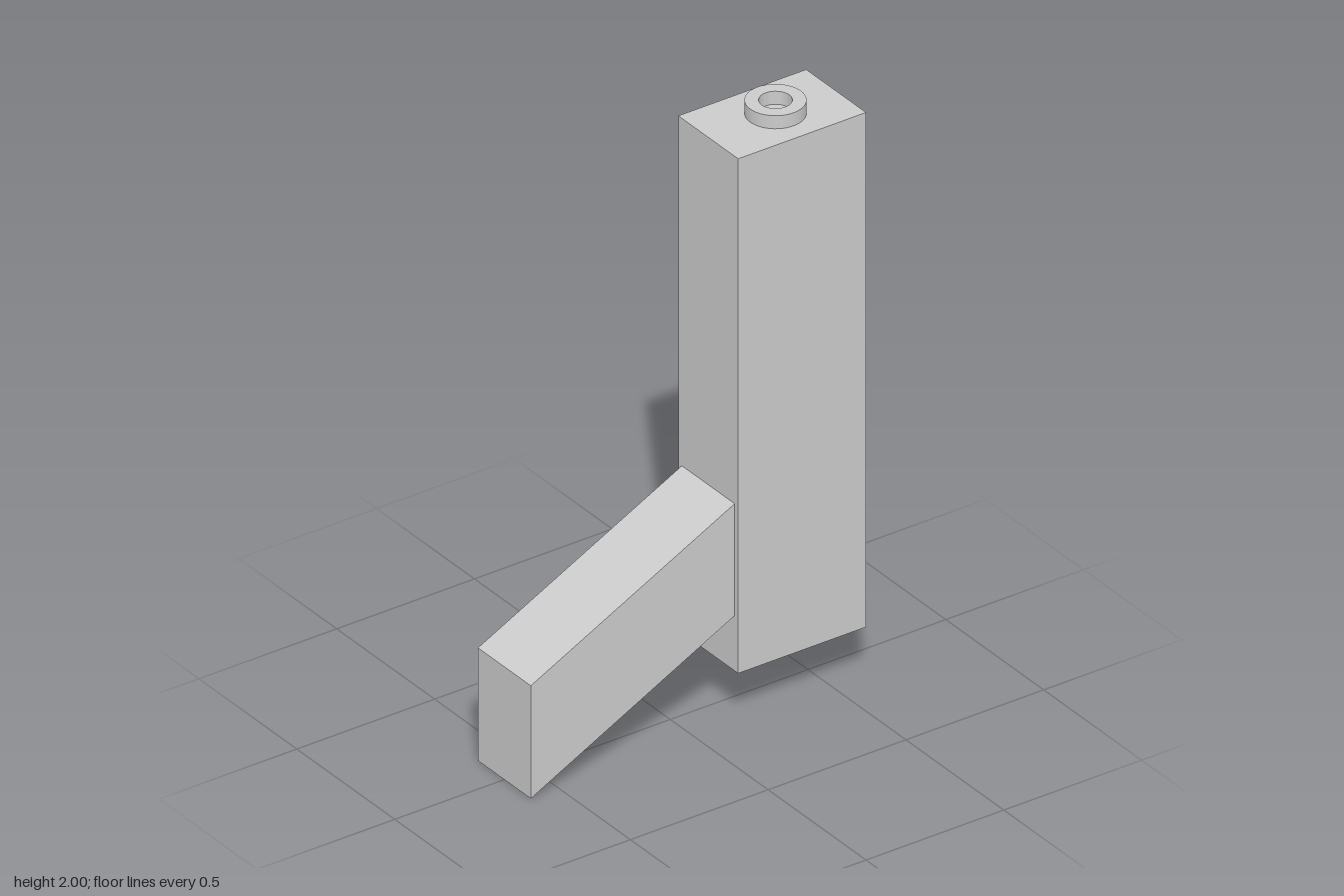
import * as THREE from 'three';
import { toCreasedNormals } from 'three/addons/utils/BufferGeometryUtils.js';

const material = new THREE.MeshStandardMaterial({ color: 0xcccccc });

function addPart(group, name, geometry, x, y, z) {
  const mesh = new THREE.Mesh(geometry, material);
  mesh.name = name;
  mesh.position.set(x, y, z);
  group.add(mesh);
}

export function createModel() {
  const group = new THREE.Group();
  group.name = 'postWithSlopedArm';

  // Upright rectangular post
  const bottom = 0.185, top = 1.955, back = -0.602, front = -0.138;
  addPart(group, 'post', new THREE.BoxGeometry(0.306, top - bottom, front - back),
    0, (top + bottom) / 2, (front + back) / 2);

  // Hollow stud on top, open down to the post
  const outer = 0.092, inner = 0.05, height = 2 - top;
  const ring = [[outer, 0], [outer, height], [inner, height], [inner, 0]]
    .map(([r, y]) => new THREE.Vector2(r, y));
  addPart(group, 'stud', toCreasedNormals(new THREE.LatheGeometry(ring, 48), 0.6), 0, top, -0.382);

  // Sloping arm with vertical ends: side profile (z, y) extruded across x
  const width = 0.27;
  const profile = new THREE.Shape([[front, 0.375], [0.602, 0], [0.602, 0.388], [front, 0.76]]
    .map(([z, y]) => new THREE.Vector2(z, y)));
  const arm = new THREE.ExtrudeGeometry(profile, { depth: width, bevelEnabled: false });
  arm.rotateY(-Math.PI / 2);
  addPart(group, 'slopedArm', arm, width / 2, 0, 0);

  return group;
}
